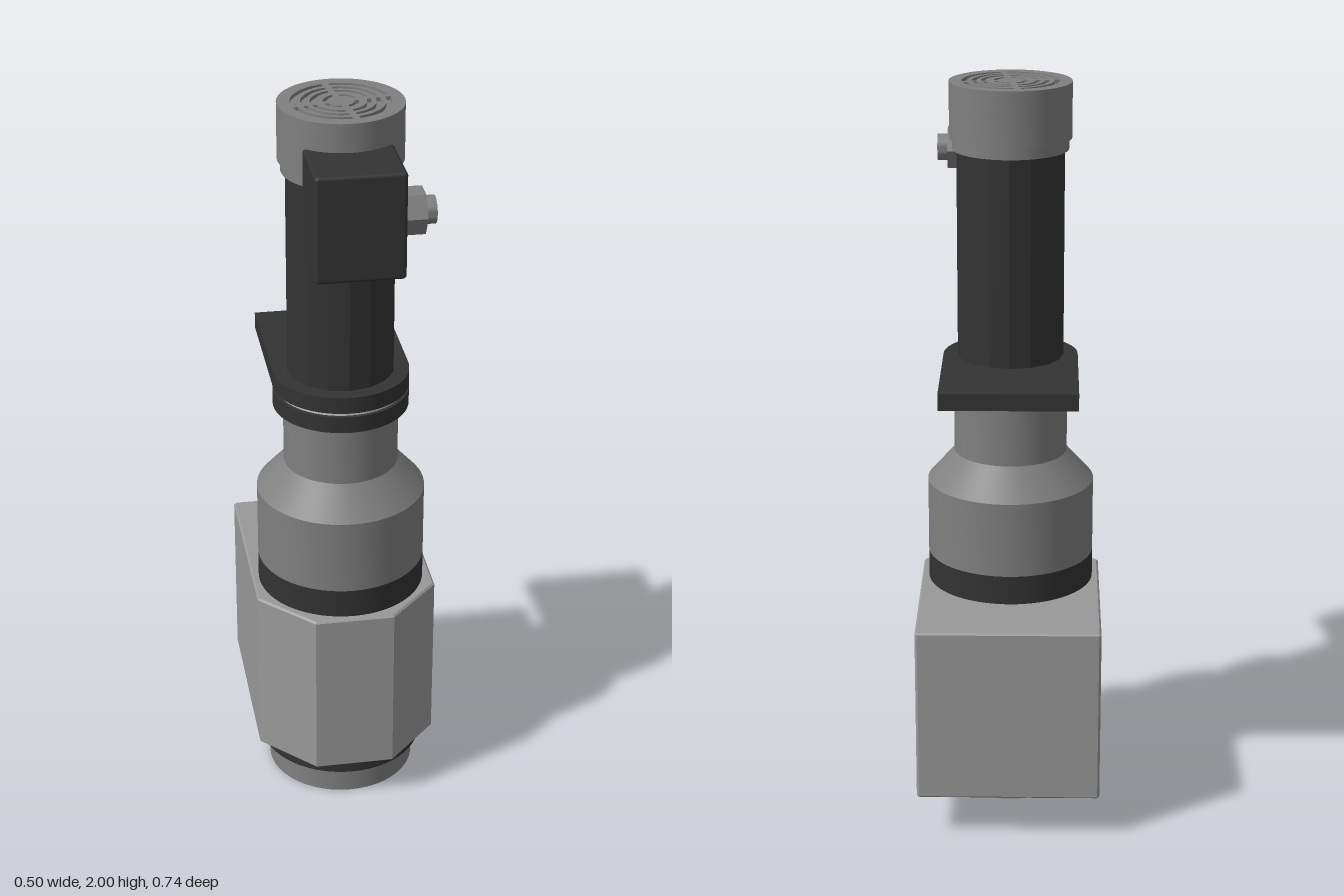
import * as THREE from 'three';
import { RoundedBoxGeometry } from 'three/addons/geometries/RoundedBoxGeometry.js';
import { toCreasedNormals } from 'three/addons/utils/BufferGeometryUtils.js';

const AXIS_Z = 0.058; // all turned parts share this vertical axis
const bright = new THREE.MeshStandardMaterial({ color: 0xcccccc });
const light = new THREE.MeshStandardMaterial({ color: 0x999999 });
const mid = new THREE.MeshStandardMaterial({ color: 0x808080 });
const dark = new THREE.MeshStandardMaterial({ color: 0x333333 });

function add(group, name, geometry, material, x = 0, y = 0, z = 0) {
  const mesh = new THREE.Mesh(geometry, material);
  mesh.name = name;
  mesh.position.set(x, y, z);
  group.add(mesh);
  return mesh;
}

// Closed solid of revolution from [radius, height] pairs, with crisp rims
function turned(profile, sides = 64) {
  const points = profile.map(([r, y]) => new THREE.Vector2(r, y));
  return toCreasedNormals(new THREE.LatheGeometry(points, sides), 0.5);
}

const disc = (r, y0, y1) => turned([[0, y0], [r, y0], [r, y1], [0, y1]]);

// Extrude a plan outline (shape y = -z) upwards
function slab(shape, depth, bevel = 0) {
  const geometry = new THREE.ExtrudeGeometry(shape, {
    depth: depth - 2 * bevel, bevelEnabled: bevel > 0, bevelThickness: bevel,
    bevelSize: bevel, bevelOffset: -bevel, bevelSegments: 1, curveSegments: 40,
  });
  geometry.translate(0, 0, bevel);
  return geometry.rotateX(-Math.PI / 2);
}

// Round plate pierced by four rings of curved slots, parted by four bars
function grillePlate(radius, depth) {
  const shape = new THREE.Shape().absarc(0, 0, radius, 0, Math.PI * 2);
  const turn = 0.16;
  const halfBar = (r) => Math.asin(0.008 / r);
  for (const [r0, r1] of [[0.035, 0.046], [0.066, 0.078], [0.09, 0.102], [0.115, 0.129]]) {
    for (let q = 0; q < 4; q++) {
      const start = (r) => q * Math.PI / 2 + turn + halfBar(r);
      const end = (r) => (q + 1) * Math.PI / 2 + turn - halfBar(r);
      const hole = new THREE.Path();
      hole.absarc(0, 0, r1, start(r1), end(r1), false);
      hole.absarc(0, 0, r0, end(r0), start(r0), true);
      hole.closePath();
      shape.holes.push(hole);
    }
  }
  return slab(shape, depth);
}

export function createModel() {
  const model = new THREE.Group();
  model.name = 'cameraHead';

  // Lower housing: square back with eased corners, chamfered front corners
  const outline = new THREE.Shape([
    [-0.242, 0.37], [-0.248, 0.364], [-0.248, -0.16], [-0.108, -0.305],
    [0.108, -0.305], [0.248, -0.16], [0.248, 0.364], [0.242, 0.37],
  ].map(([x, y]) => new THREE.Vector2(x, y)));
  add(model, 'housing', slab(outline, 0.487, 0.005), light, 0, 0.12, 0);

  // Turned column
  const column = new THREE.Group();
  column.name = 'column';
  column.position.z = AXIS_Z;
  model.add(column);
  add(column, 'base', disc(0.205, 0, 0.085), mid);
  add(column, 'baseRing', disc(0.227, 0.08, 0.125), dark);
  add(column, 'lowerCollar', disc(0.229, 0.6, 0.688), dark);
  add(column, 'barrel', turned([
    [0, 0.688], [0.229, 0.688], [0.229, 0.897], [0.155, 0.98], [0.155, 1.155], [0, 1.155],
  ]), mid);
  add(column, 'flange', disc(0.183, 1.15, 1.196), dark);
  add(column, 'spacer', disc(0.173, 1.19, 1.212), bright);

  // Mounting plate: round at the front, straight out to the back
  const plate = new THREE.Shape();
  plate.moveTo(0.183, 0);
  plate.lineTo(0.183, 0.305 + AXIS_Z);
  plate.lineTo(-0.183, 0.305 + AXIS_Z);
  plate.lineTo(-0.183, 0);
  plate.absarc(0, 0, 0.183, Math.PI, Math.PI * 2, false);
  add(column, 'mountingPlate', toCreasedNormals(slab(plate, 0.046), 0.5), dark, 0, 1.207, 0);

  // Faceted upper body
  const tube = new THREE.CylinderGeometry(0.144, 0.144, 0.6, 16);
  add(column, 'upperBody', toCreasedNormals(tube, 0.1), dark, 0, 1.54, 0);

  // Cap with slotted vent
  add(column, 'cap', turned([
    [0, 1.82], [0.155, 1.82], [0.155, 1.85], [0.163, 1.85], [0.163, 1.99], [0, 1.99],
  ]), mid);
  add(column, 'vent', toCreasedNormals(grillePlate(0.163, 0.01), 0.5), mid, 0, 1.99, 0);

  // Connector box on the front
  add(model, 'connectorBox', new RoundedBoxGeometry(0.23, 0.283, 0.215, 2, 0.01), dark, 0, 1.783, 0.2635);

  // Cable gland on the side of the box, built along y and laid along x
  const gland = new THREE.Group();
  gland.name = 'cableGland';
  gland.position.set(0.112, 1.78, 0.265);
  gland.rotation.z = -Math.PI / 2;
  model.add(gland);
  const hex = new THREE.CylinderGeometry(0.061, 0.061, 0.063, 6);
  add(gland, 'hexNut', toCreasedNormals(hex, 0.5), mid, 0, 0.0315, 0);
  add(gland, 'socket', turned([
    [0, 0.06], [0.036, 0.06], [0.036, 0.091], [0.025, 0.091], [0.025, 0.07], [0, 0.07],
  ], 32), mid);

  return model;
}
